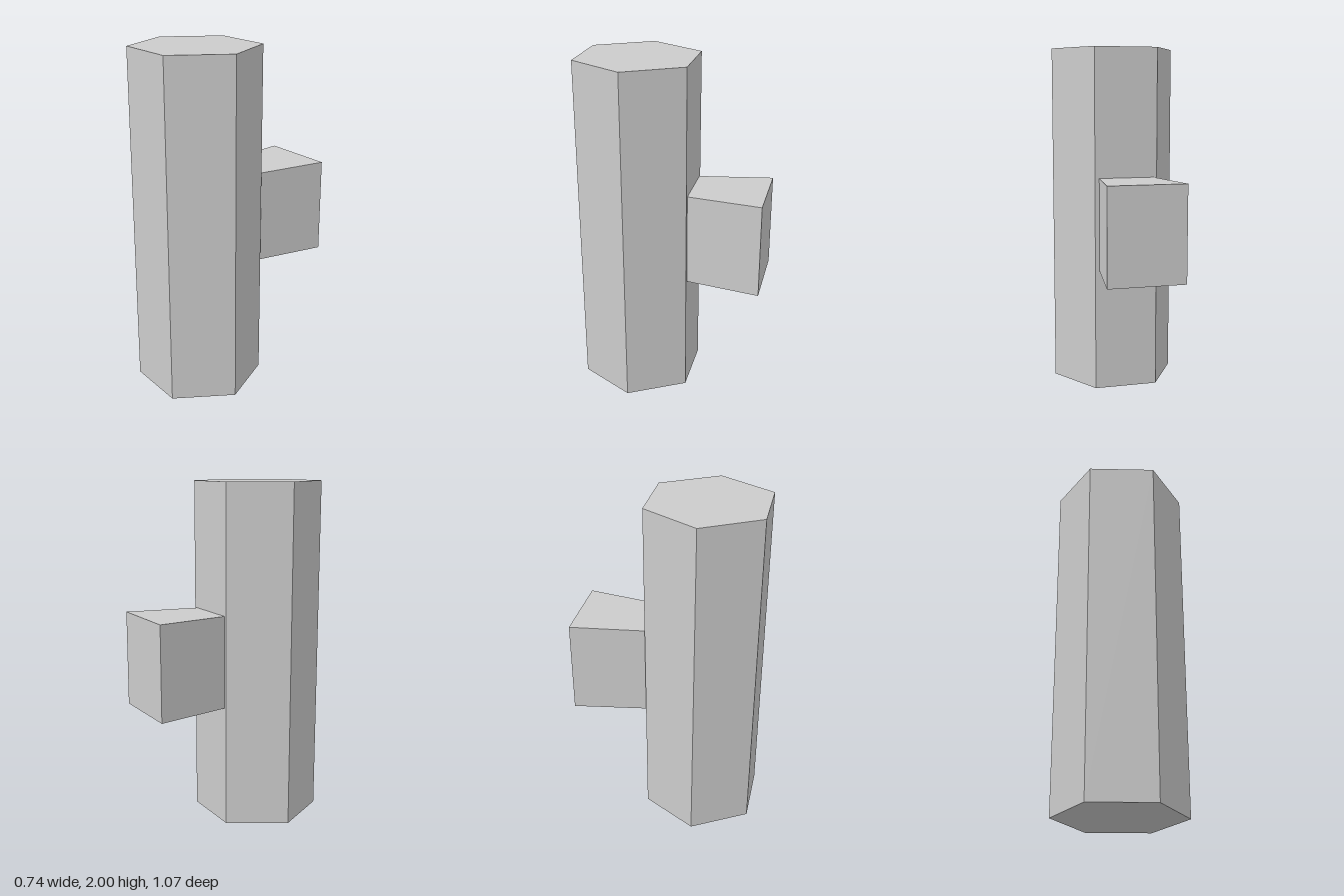
import * as THREE from 'three';

export function createModel() {
  const group = new THREE.Group();
  const grey = new THREE.MeshStandardMaterial({ color: 0xcccccc });
  grey.name = 'lightGrey';

  // Tall hexagonal column, flat sides facing front and back
  const columnGeometry = new THREE.CylinderGeometry(0.37, 0.37, 2, 6, 1, false, Math.PI / 6).toNonIndexed();
  columnGeometry.computeVertexNormals();
  const column = new THREE.Mesh(columnGeometry, grey);
  column.name = 'hexagonalColumn';
  column.position.set(0, 1, 0.215);
  group.add(column);

  // Block on the back, flaring outwards away from the column
  const blockGeometry = new THREE.BoxGeometry(1, 1, 0.435).toNonIndexed();
  const p = blockGeometry.attributes.position;
  for (let i = 0; i < p.count; i++) {
    const rear = p.getZ(i) < 0;
    p.setX(i, p.getX(i) * (rear ? 0.45 : 0.325));
    p.setY(i, p.getY(i) * (rear ? 0.553 : 0.543));
  }
  blockGeometry.computeVertexNormals();
  const block = new THREE.Mesh(blockGeometry, grey);
  block.name = 'flaredBackBlock';
  block.position.set(-0.003, 0.982, -0.3205);
  group.add(block);

  return group;
}
